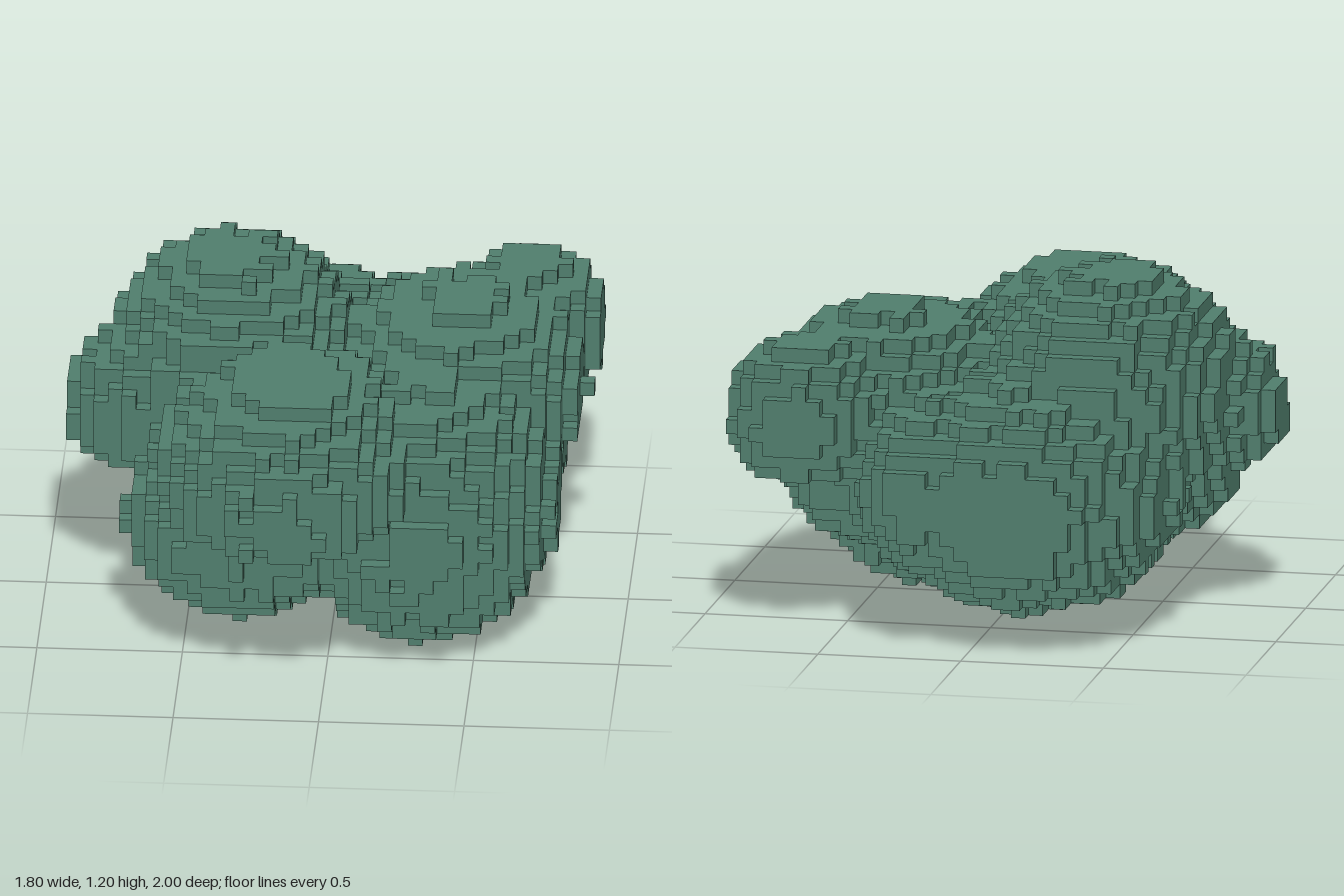
import * as THREE from 'three';

const CELL = 0.05, NX = 37, NY = 24, NZ = 40;

// Foliage clumps: centre, radii, and the height below which the clump is cut flat
const CLUMPS = [
  { c: [-0.36, 0.78, -0.18], r: [0.44, 0.42, 0.52], floor: 0.55 }, // tall crown
  { c: [-0.55, 0.71, -0.02], r: [0.38, 0.29, 0.29], floor: 0.55 }, // outer shoulder of the tall crown
  { c: [-0.14, 0.72, 0.45], r: [0.45, 0.34, 0.55], floor: 0.6 },   // front crown
  { c: [0.41, 0.73, -0.20], r: [0.43, 0.31, 0.50], floor: 0 },     // side crown
  { c: [0.62, 0.75, -0.58], r: [0.27, 0.26, 0.28], floor: 0.55 },  // back corner crown
  { c: [0.31, 0.48, 0.20], r: [0.46, 0.47, 0.50], floor: 0 },      // low front clump
  { c: [-0.30, 0.46, 0.34], r: [0.40, 0.32, 0.38], floor: 0 },     // low side clump
  { c: [-0.15, 0.50, -0.50], r: [0.50, 0.40, 0.55], floor: 0 },    // back clump
  { c: [0.17, 0.54, -0.60], r: [0.25, 0.30, 0.41], floor: 0 },     // small back clump
  { c: [0.42, 0.52, -0.20], r: [0.36, 0.28, 0.40], floor: 0 },     // filling under the side crown
  { c: [-0.05, 0.58, -0.05], r: [0.58, 0.30, 0.42], floor: 0 },    // core
];

// Leaning trunk, one layer per row: x from, x to, z from, z to
const TRUNK = [
  [-0.125, 0.075, -0.2, 0],
  [-0.125, 0.125, -0.25, 0],
  [-0.175, 0.075, -0.25, -0.05],
  [-0.075, 0.075, -0.25, -0.1],
  [-0.075, 0.075, -0.25, -0.15],
  [-0.075, 0.025, -0.25, -0.15],
];

const centre = (i, j, k) => [(i - 18) * CELL, (j + 0.5) * CELL, (k - 19.5) * CELL];

// Repeatable roughness per cell, 0..1
function hash(i, j, k) {
  let h = Math.imul(i + 11, 374761393) ^ Math.imul(j + 7, 668265263) ^ Math.imul(k + 3, 1274126177);
  h = Math.imul(h ^ (h >>> 13), 1103515245);
  return ((h ^ (h >>> 16)) >>> 0) / 4294967296;
}

function isTrunk(i, j, k) {
  const row = TRUNK[j];
  if (!row) return false;
  const [x, , z] = centre(i, j, k);
  return x > row[0] && x < row[1] && z > row[2] && z < row[3];
}

function isLeaf(i, j, k) {
  const p = centre(i, j, k);
  const limit = 1 + (hash(i, j, k) - 0.5) * 0.07;
  return CLUMPS.some(({ c, r, floor }) =>
    p[1] > floor && Math.hypot(...p.map((v, a) => (v - c[a]) / r[a])) < limit);
}

// Cell kinds: 0 empty, 1 leaf, 2 trunk
function fillGrid() {
  const grid = new Uint8Array(NX * NY * NZ);
  for (let i = 0; i < NX; i++)
    for (let j = 0; j < NY; j++)
      for (let k = 0; k < NZ; k++)
        grid[(i * NY + j) * NZ + k] = isTrunk(i, j, k) ? 2 : isLeaf(i, j, k) ? 1 : 0;
  return (i, j, k) =>
    i < 0 || j < 0 || k < 0 || i >= NX || j >= NY || k >= NZ ? 0 : grid[(i * NY + j) * NZ + k];
}

// Surface of all cells of one kind, keeping only the exposed cell faces
function cellSurface(at, kind) {
  const pos = [], nor = [], idx = [];
  for (let i = 0; i < NX; i++)
    for (let j = 0; j < NY; j++)
      for (let k = 0; k < NZ; k++) {
        if (at(i, j, k) !== kind) continue;
        const p = centre(i, j, k);
        for (let axis = 0; axis < 3; axis++)
          for (const s of [-1, 1]) {
            const n = [0, 0, 0];
            n[axis] = s;
            if (at(i + n[0], j + n[1], k + n[2])) continue;
            const u = (axis + 1) % 3, v = (axis + 2) % 3, base = pos.length / 3;
            for (const [a, b] of [[-1, -1], [1, -1], [1, 1], [-1, 1]]) {
              const q = [...p];
              q[axis] += s * CELL / 2;
              q[u] += a * s * CELL / 2;
              q[v] += b * CELL / 2;
              pos.push(...q);
              nor.push(...n);
            }
            idx.push(base, base + 1, base + 2, base, base + 2, base + 3);
          }
      }
  const g = new THREE.BufferGeometry();
  g.setAttribute('position', new THREE.Float32BufferAttribute(pos, 3));
  g.setAttribute('normal', new THREE.Float32BufferAttribute(nor, 3));
  g.setIndex(idx);
  return g;
}

export function createModel() {
  const leafGreen = new THREE.MeshStandardMaterial({ color: 0x517f6e });
  leafGreen.name = 'leafGreen';
  const barkBrown = new THREE.MeshStandardMaterial({ color: 0x3b342c });
  barkBrown.name = 'barkBrown';

  const at = fillGrid();
  const group = new THREE.Group();
  group.name = 'bush';
  const foliage = new THREE.Mesh(cellSurface(at, 1), leafGreen);
  foliage.name = 'foliage';
  const trunk = new THREE.Mesh(cellSurface(at, 2), barkBrown);
  trunk.name = 'trunk';
  group.add(foliage, trunk);
  return group;
}
